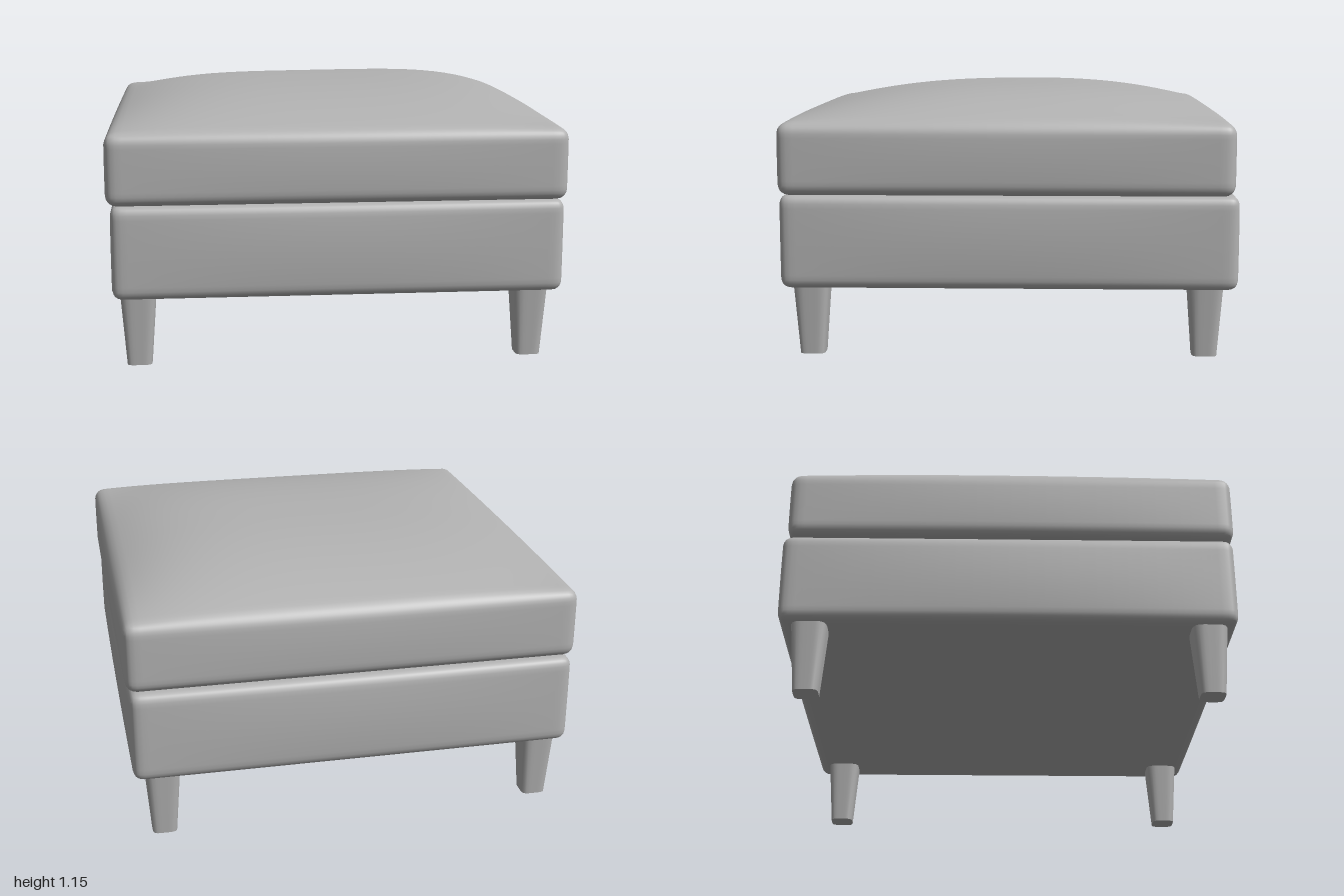
import * as THREE from 'three';
import { mergeVertices } from 'three/addons/utils/BufferGeometryUtils.js';

const clamp = THREE.MathUtils.clamp;

// Smooth rounded block with softly bulging sides; grid lines gather at the edges.
function softBlock(w, h, d, r, bulge, domeAt = () => 0) {
  let geo = new THREE.BoxGeometry(2, 2, 2, 40, 20, 40);
  geo.deleteAttribute('uv');
  geo.deleteAttribute('normal');
  geo = mergeVertices(geo);
  const pos = geo.attributes.position;
  const half = new THREE.Vector3(w / 2, h / 2, d / 2);
  const spread = (t) => Math.sin((t * Math.PI) / 2);
  const p = new THREE.Vector3();
  const core = new THREE.Vector3();
  const inner = half.clone().subScalar(r);
  const innerMin = inner.clone().negate();
  for (let i = 0; i < pos.count; i++) {
    p.set(spread(pos.getX(i)), spread(pos.getY(i)), spread(pos.getZ(i))).multiply(half);
    core.copy(p).clamp(innerMin, inner);
    p.sub(core).setLength(r).add(core);
    const u = p.x / half.x, v = p.y / half.y, s = p.z / half.z;
    // sides swell outward at mid height, away from the corners
    const swell = bulge * (1 - v * v);
    p.x += swell * u * (1 - s * s);
    p.z += swell * s * (1 - u * u);
    // the top rises into a crown
    p.y += domeAt(u, s) * clamp((p.y - half.y + r) / r, 0, 1);
    pos.setXYZ(i, p.x, p.y, p.z);
  }
  geo.computeVertexNormals();
  return geo;
}

// Tapered leg with a rounded-square section
function legGeometry(topHalf, bottomHalf, height) {
  const geo = new THREE.CylinderGeometry(topHalf, bottomHalf, height, 32, 1);
  const pos = geo.attributes.position;
  for (let i = 0; i < pos.count; i++) {
    const x = pos.getX(i), z = pos.getZ(i);
    const radius = Math.hypot(x, z);
    if (radius < 1e-6) continue;
    const k = 1 / Math.pow(Math.abs(x / radius) ** 5 + Math.abs(z / radius) ** 5, 1 / 5);
    pos.setX(i, x * k);
    pos.setZ(i, z * k);
  }
  geo.computeVertexNormals();
  return geo;
}

export function createModel() {
  const group = new THREE.Group();
  group.name = 'ottoman';
  const grey = new THREE.MeshStandardMaterial({ color: 0xb2b2b2 });
  grey.name = 'grey upholstery';

  const add = (name, geo, x, y, z) => {
    const mesh = new THREE.Mesh(geo, grey);
    mesh.name = name;
    mesh.position.set(x, y, z);
    group.add(mesh);
  };

  // Upholstered base
  add('base', softBlock(1.95, 0.41, 1.97, 0.045, 0.012), 0, 0.508, 0);

  // Loose seat cushion, crowned and slightly uneven
  const crown = (u, s) =>
    0.128 * (1 - u ** 4) * (1 - Math.abs(s) ** 2.5) * (1 + 0.1 * u - 0.08 * s);
  add('cushion', softBlock(1.98, 0.312, 1.955, 0.05, 0.008, crown), -0.003, 0.864, 0.012);

  // Four tapered legs
  const leg = legGeometry(0.078, 0.054, 0.32);
  for (const [xName, x] of [['Left', 0.845], ['Right', -0.867]]) {
    for (const [zName, z] of [['front', 0.863], ['back', -0.852]]) {
      add(`${zName}${xName}Leg`, leg, x, 0.16, z);
    }
  }
  return group;
}
